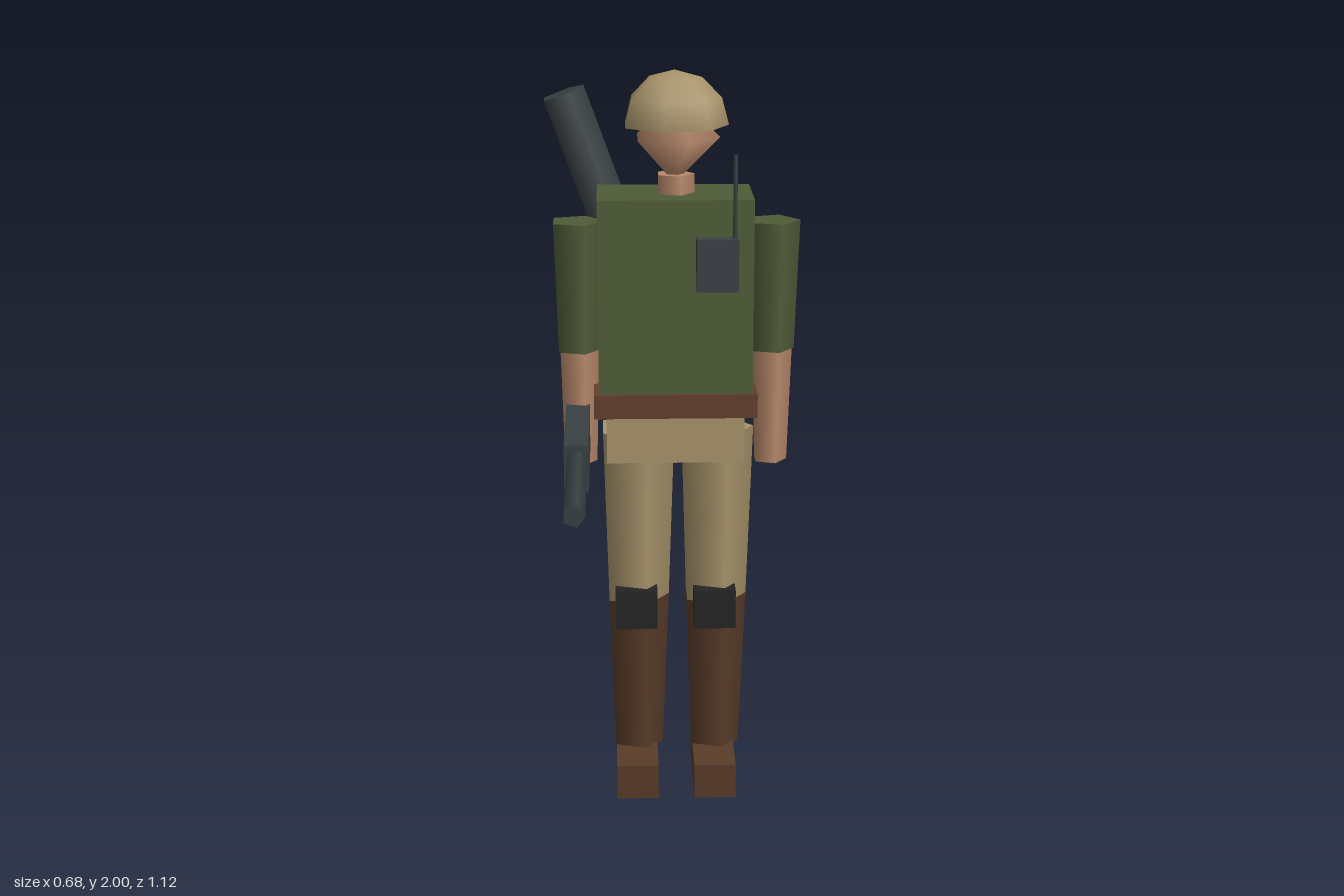
import * as THREE from 'three';

export function createModel() {
  const model = new THREE.Group();
  model.name = 'soldier';

  const mat = (name, color, side = THREE.FrontSide) => {
    const m = new THREE.MeshStandardMaterial({ color, side });
    m.name = name;
    return m;
  };
  const olive = mat('olive cloth', 0x505c37);
  const khaki = mat('khaki cloth', 0xa8946b, THREE.DoubleSide);
  const skin = mat('skin', 0xba8a6c);
  const leather = mat('boot leather', 0x593c29);
  const beltLeather = mat('belt leather', 0x643f2c);
  const gunmetal = mat('gunmetal', 0x384042);
  const radioGrey = mat('radio grey', 0x3b4045);
  const black = mat('black pad', 0x242424);

  // The body is centred here; the weapon reaches forward of it
  const body = new THREE.Group();
  body.name = 'body';
  body.position.set(0.004, 0, -0.281);
  model.add(body);

  const add = (name, geo, material, x, y, z) => {
    const mesh = new THREE.Mesh(geo, material);
    mesh.name = name;
    mesh.position.set(x, y, z);
    body.add(mesh);
    return mesh;
  };
  const box = (name, material, w, y0, y1, d, x = 0, z = 0) =>
    add(name, new THREE.BoxGeometry(w, y1 - y0, d), material, x, (y0 + y1) / 2, z);
  // Five-sided tapered limb with one corner towards +x
  const limb = (name, material, rTop, rBottom, y0, y1, x = 0, z = 0) =>
    add(name, new THREE.CylinderGeometry(rTop, rBottom, y1 - y0, 5, 1, false, Math.PI / 2),
      material, x, (y0 + y1) / 2, z);

  // Trunk
  box('torso', olive, 0.41, 1.16, 1.68, 0.24);
  box('belt', beltLeather, 0.436, 1.095, 1.16, 0.26);
  box('hips', khaki, 0.37, 0.965, 1.095, 0.22);

  // Neck, diamond head and open helmet
  limb('neck', skin, 0.053, 0.053, 1.66, 1.73);
  add('head', new THREE.SphereGeometry(0.12, 5, 2, Math.PI), skin, 0, 1.825, 0);
  add('helmet', new THREE.SphereGeometry(0.143, 7, 3, Math.PI, Math.PI * 2, 0, Math.PI / 2),
    khaki, 0, 1.857, 0);

  // Arms and legs
  for (const [side, s] of [['left', 1], ['right', -1]]) {
    limb(side + 'Sleeve', olive, 0.075, 0.063, 1.255, 1.605, s * 0.26);
    limb(side + 'Forearm', skin, 0.058, 0.048, 0.94, 1.257, s * 0.26);
    const x = s * 0.108;
    limb(side + 'TrouserLeg', khaki, 0.108, 0.092, 0.545, 1.035, x);
    limb(side + 'Boot', leather, 0.092, 0.074, 0.09, 0.545, x);
    box(side + 'Foot', leather, 0.116, 0, 0.1, 0.283, x, 0.044);
    box(side + 'KneePad', black, 0.116, 0.48, 0.592, 0.056, x, 0.079);
  }

  // Chest radio with aerial
  box('radio', radioGrey, 0.11, 1.445, 1.583, 0.05, 0.108, 0.134);
  limb('radioAerial', gunmetal, 0.006, 0.006, 1.57, 1.8, 0.153, 0.135);

  // Rifle in the right hand
  box('rifleBody', gunmetal, 0.063, 0.985, 1.11, 0.455, -0.262, 0.184);
  const barrel = limb('rifleBarrel', gunmetal, 0.028, 0.028, 0, 0.45, -0.262, 0.616);
  barrel.position.y = 1.07;
  barrel.rotation.x = Math.PI / 2;

  // Tube slung across the back
  const tube = limb('backTube', gunmetal, 0.063, 0.063, 0, 0.874, -0.149, -0.219);
  tube.position.y = 1.502;
  tube.rotation.z = 0.349;

  return model;
}
